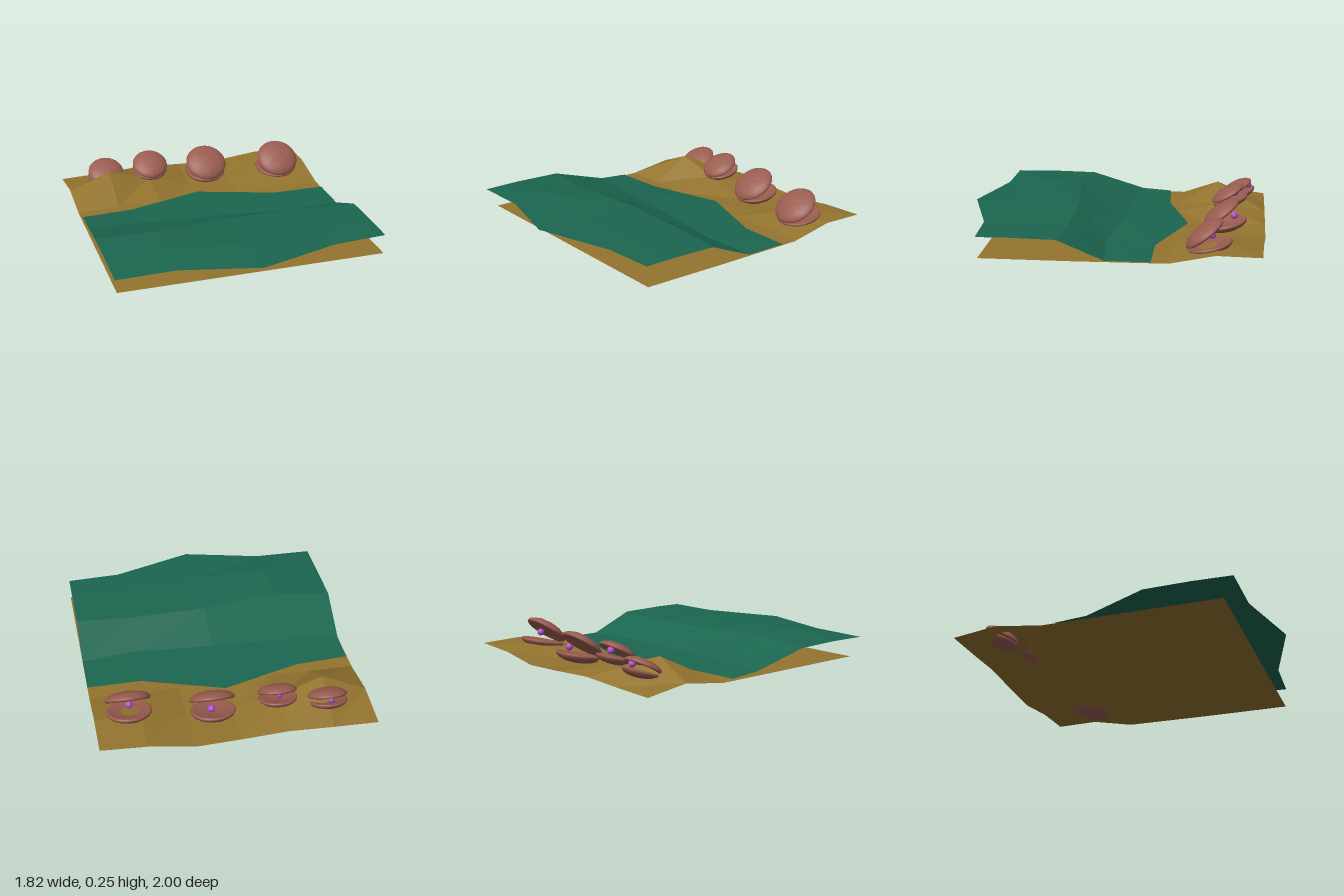
import * as THREE from 'three';

const mat = (color, flat = false) =>
  new THREE.MeshStandardMaterial({ color, flatShading: flat, side: THREE.DoubleSide });

// Faceted sheet from rows of [x, y, z] points, rows running from back to front
function sheet(name, rows, color) {
  const n = rows[0].length, index = [];
  for (let j = 0; j < rows.length - 1; j++)
    for (let i = 0; i < n - 1; i++) {
      const a = j * n + i, b = a + n;
      index.push(a, b, a + 1, a + 1, b, b + 1);
    }
  const g = new THREE.BufferGeometry();
  g.setAttribute('position', new THREE.Float32BufferAttribute(rows.flat(2), 3));
  g.setIndex(index);
  g.computeVertexNormals();
  const m = new THREE.Mesh(g, mat(color, true));
  m.name = name;
  return m;
}

// Hollow domed half shell with unit radius, rim on y = 0, slightly lumpy outside
function shellGeometry() {
  const profile = [[0, 0.13], [0.45, 0.1], [0.8, 0.03], [0.93, -0.02], [0.99, 0.02], [1, 0.07],
    [0.95, 0.15], [0.82, 0.25], [0.6, 0.34], [0.3, 0.39], [0, 0.4]];
  const g = new THREE.LatheGeometry(profile.map(p => new THREE.Vector2(...p)), 32);
  const p = g.attributes.position;
  for (let i = 0; i < p.count; i++) {
    const x = p.getX(i), y = p.getY(i), z = p.getZ(i);
    const lump = 1 + 0.03 * Math.sin(9 * x + 2) * Math.cos(11 * z);
    p.setXYZ(i, x, y * lump, z * 0.98);
  }
  g.computeVertexNormals();
  return g;
}

export function createModel() {
  const model = new THREE.Group();
  model.name = 'seabed';

  // Sand: flat in front, low dunes at the back
  const sx = [-0.89, -0.6, -0.3, 0, 0.3, 0.6, 0.9];
  const sand = [
    { z: [-1, -1, -1, -1, -1, -0.985, -0.98], y: [0.02, 0.03, 0.045, 0.03, 0.02, 0.06, 0.075] },
    { z: [-0.7, -0.66, -0.69, -0.66, -0.68, -0.7, -0.69], y: [0.06, 0.175, 0.085, 0.005, 0.015, 0.085, 0.08] },
    { z: Array(7).fill(-0.4), y: [0.015, 0.02, 0.02, 0.015, 0.015, 0.02, 0.02] },
    { z: Array(7).fill(0.2), y: [0.015, 0.015, 0.012, 0, 0.008, 0.015, 0.015] },
    { z: Array(7).fill(0.8), y: Array(7).fill(0.015) },
  ];
  model.add(sheet('sand', sand.map(r => sx.map((x, i) => [x, r.y[i], r.z[i]])), 0x94742f));

  // Water: wave sheet rising toward the front
  const water = [
    { x: -0.88, z: [-0.3, -0.32, -0.475, -0.29, -0.29], y: [0.025, 0.025, 0.025, 0.025, 0.025] },
    { x: -0.88, z: [-0.09, -0.05, -0.02, 0.03, 0], y: [0.04, 0.045, 0.04, 0.03, 0.025] },
    { x: -0.915, z: [0.29, 0.34, 0.27, 0.27, 0.3], y: [0.145, 0.165, 0.155, 0.15, 0.15] },
    { x: -0.915, z: [0.6, 0.64, 0.65, 0.63, 0.62], y: [0.15, 0.182, 0.158, 0.152, 0.155] },
    { x: -0.915, z: [0.87, 0.87, 1, 0.83, 0.81], y: [0.145, 0.15, 0.152, 0.148, 0.152] },
  ];
  model.add(sheet('water', water.map(r =>
    [r.x, -0.52, 0, 0.54, 0.9].map((x, i) => [x, r.y[i], r.z[i]])), 0x1b6650));

  // Open clams, hinged at the front and gaping toward the back, each with a pearl
  const half = shellGeometry(), shellMat = mat(0x9a5c50), pearlMat = mat(0xb04fc8);
  const pearlGeo = new THREE.SphereGeometry(0.024, 16, 12);
  const clams = [
    { x: -0.6, y: 0.06, z: -0.685, r: 0.128, up: 30, low: 20, pearl: [-0.6, 0.16, -0.88] },
    { x: -0.28, y: 0.1, z: -0.635, r: 0.126, up: 31, low: 16, pearl: [-0.28, 0.18, -0.79] },
    { x: 0.14, y: 0.05, z: -0.59, r: 0.148, up: 37, low: 13, pearl: [0.16, 0.135, -0.79] },
    { x: 0.67, y: 0.055, z: -0.5, r: 0.149, up: 38, low: 13, pearl: [0.67, 0.145, -0.66] },
  ];
  for (const c of clams) {
    const clam = new THREE.Group();
    clam.name = 'clam';
    for (const [name, deg, flip] of [['upperShell', c.up, 0], ['lowerShell', c.low, Math.PI]]) {
      const hinge = new THREE.Group();
      hinge.name = name;
      hinge.position.set(c.x, c.y, c.z);
      hinge.rotation.x = THREE.MathUtils.degToRad(deg);
      const m = new THREE.Mesh(half, shellMat);
      m.name = name + 'Half';
      m.position.z = -c.r;
      m.rotation.z = flip;
      m.scale.setScalar(c.r);
      hinge.add(m);
      clam.add(hinge);
    }
    const pearl = new THREE.Mesh(pearlGeo, pearlMat);
    pearl.name = 'pearl';
    pearl.position.set(...c.pearl);
    clam.add(pearl);
    model.add(clam);
  }
  return model;
}
